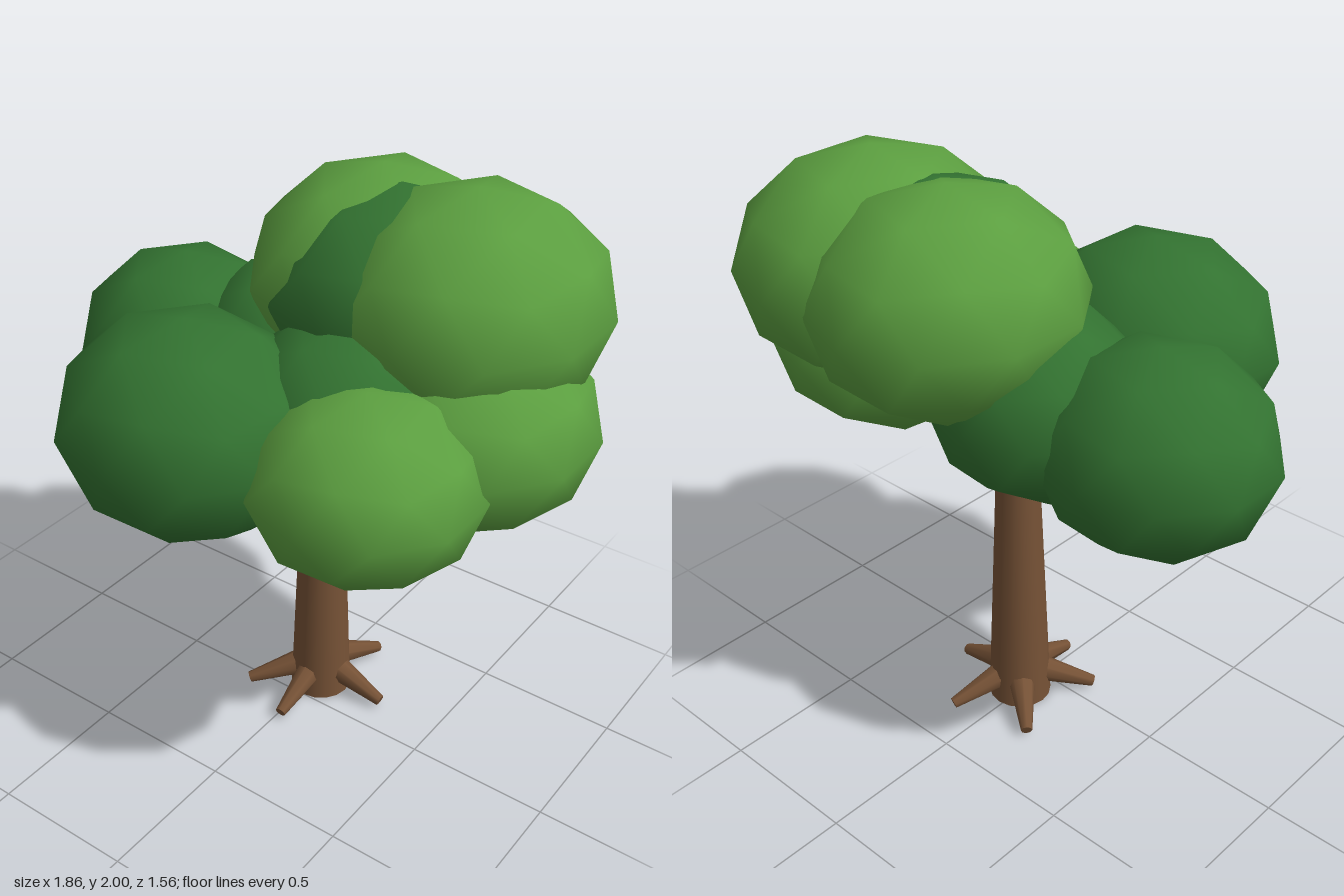
import * as THREE from 'three';

const V = (x, y, z) => new THREE.Vector3(x, y, z);

export function createModel() {
  const tree = new THREE.Group();
  tree.name = 'tree';
  const mat = (name, color) => {
    const m = new THREE.MeshStandardMaterial({ color });
    m.name = name;
    return m;
  };
  const bark = mat('bark brown', 0x765236);
  const light = mat('light leaf green', 0x5c9f40);
  const dark = mat('dark leaf green', 0x337331);

  // Tapered limb between two points
  function limb(name, a, b, rA, rB, sides) {
    const geo = new THREE.CylinderGeometry(rB, rA, a.distanceTo(b), sides);
    const mesh = new THREE.Mesh(geo, bark);
    mesh.name = name;
    mesh.position.copy(a).lerp(b, 0.5);
    mesh.quaternion.setFromUnitVectors(V(0, 1, 0), b.clone().sub(a).normalize());
    tree.add(mesh);
  }

  // Trunk
  const tx = 0.014, tz = -0.11;
  limb('trunk', V(tx, 0, tz), V(tx, 1.06, tz), 0.11, 0.068, 16);

  // Roots spread around the base
  [0, 88, 138, 222, 290].forEach((deg, i) => {
    const a = THREE.MathUtils.degToRad(deg);
    const at = (r, y) => V(tx + Math.cos(a) * r, y, tz + Math.sin(a) * r);
    limb('root' + (i + 1), at(0.05, 0.1), at(0.265, 0.03), 0.05, 0.02, 8);
  });

  // Branches reaching into the crown
  [[0.27, 1.42, -0.18], [0.2, 1.18, 0.02]].forEach((tip, i) => {
    limb('branch' + (i + 1), V(tx, 0.98, tz), V(...tip), 0.045, 0.03, 8);
  });

  // Leaf clumps: name, material, centre, radii
  const clumps = [
    ['leftOuterClump', dark, [-0.555, 1.255, -0.11], [0.395, 0.335, 0.37]],
    ['frontClump', dark, [-0.15, 1.3, 0.375], [0.44, 0.362, 0.405]],
    ['backLowerClump', dark, [-0.16, 1.31, -0.2], [0.36, 0.32, 0.34]],
    ['innerLowerClump', dark, [0.24, 1.34, 0.05], [0.37, 0.305, 0.37]],
    ['innerUpperClump', dark, [0.18, 1.6, -0.27], [0.42, 0.355, 0.43]],
    ['topBackClump', light, [0.08, 1.61, -0.33], [0.43, 0.37, 0.45]],
    ['topSideClump', light, [0.445, 1.625, -0.285], [0.44, 0.375, 0.465]],
    ['sideClump', light, [0.545, 1.3, -0.15], [0.405, 0.33, 0.41]],
    ['frontSideClump', light, [0.435, 1.255, 0.27], [0.375, 0.305, 0.37]],
  ];
  // Rounded icosahedron standing on one of its corners
  const ball = new THREE.IcosahedronGeometry(1, 1);
  ball.rotateX(-Math.atan((1 + Math.sqrt(5)) / 2)).rotateY(-Math.PI / 2);
  clumps.forEach(([name, material, c, r]) => {
    const mesh = new THREE.Mesh(ball.clone().scale(...r), material);
    mesh.name = name;
    mesh.position.set(...c);
    tree.add(mesh);
  });

  return tree;
}
